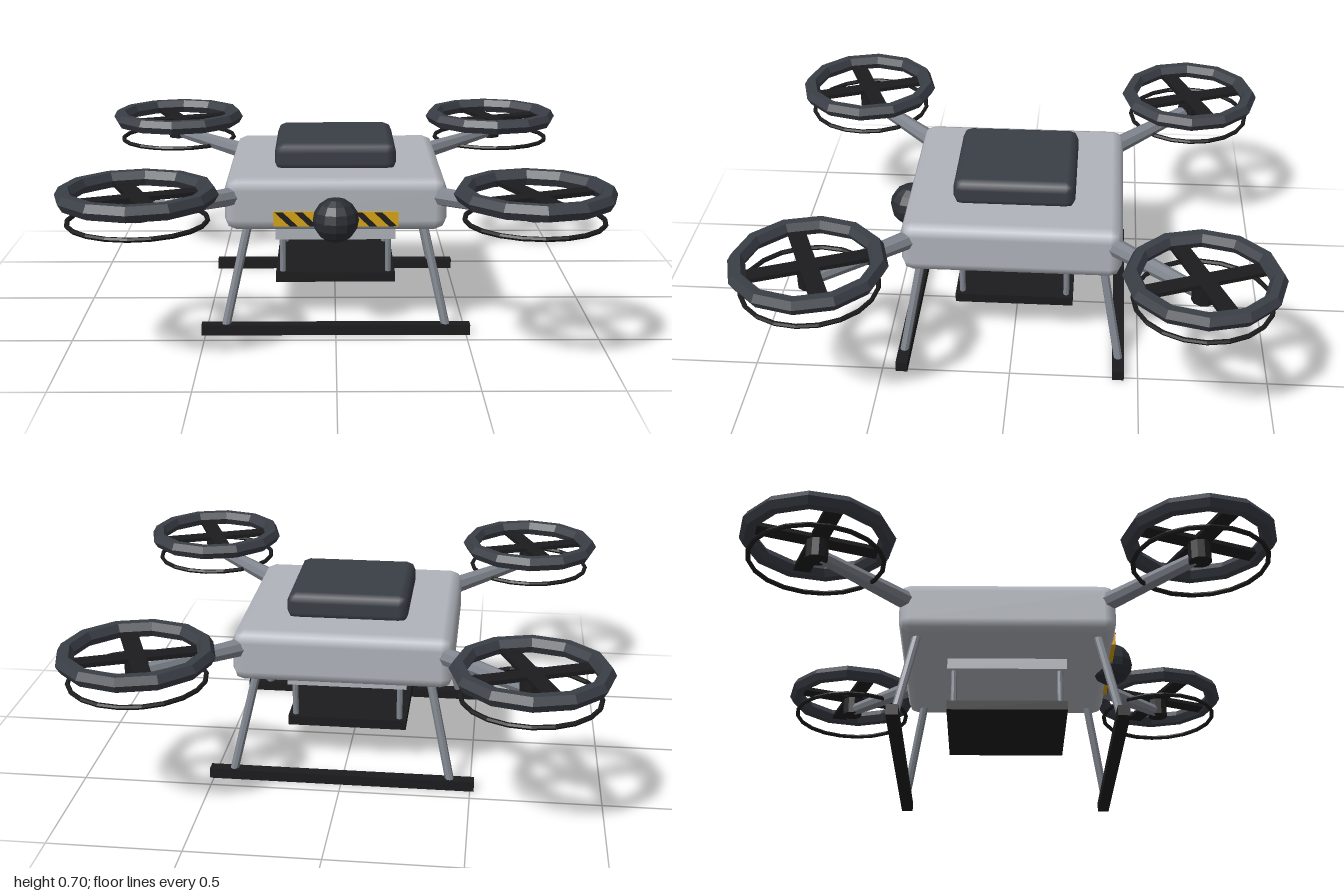
import * as THREE from 'three';
import { RoundedBoxGeometry } from 'three/addons/geometries/RoundedBoxGeometry.js';

const mat = (color, flatShading = true) => new THREE.MeshStandardMaterial({ color, flatShading });
const shell = mat(0xb0b4bb, false);
const dark = mat(0x3a3e46);
const canopyMat = mat(0x3a3e46, false);
const metal = mat(0x80858e);
const black = mat(0x1c1c1e);
const lens = mat(0x2a2e34);
const yellow = mat(0xd9a514);

function add(parent, name, geometry, material, x = 0, y = 0, z = 0) {
  const mesh = new THREE.Mesh(geometry, material);
  mesh.name = name;
  mesh.position.set(x, y, z);
  parent.add(mesh);
  return mesh;
}

// Tapered round bar between two points
function strut(parent, name, a, b, ra, rb, sides) {
  const dir = b.clone().sub(a);
  const mid = a.clone().add(b).multiplyScalar(0.5);
  const mesh = add(parent, name, new THREE.CylinderGeometry(rb, ra, dir.length(), sides), metal, mid.x, mid.y, mid.z);
  mesh.quaternion.setFromUnitVectors(new THREE.Vector3(0, 1, 0), dir.normalize());
  return mesh;
}

// Motor, crossed blades, guard ring and thin lower ring
function makeRotor(x, z) {
  const rotor = new THREE.Group();
  rotor.name = 'rotor';
  rotor.position.set(x, 0, z);
  add(rotor, 'motor', new THREE.CylinderGeometry(0.043, 0.043, 0.075, 10), black, 0, 0.57, 0);
  for (let i = 0; i < 2; i++) {
    const blade = add(rotor, 'blade', new THREE.BoxGeometry(0.48, 0.016, 0.065), black, 0, 0.615, 0);
    blade.rotation.y = 0.38 + i * Math.PI / 2;
  }
  const guard = new THREE.TorusGeometry(0.2585, 0.0325, 6, 12).rotateX(Math.PI / 2);
  add(rotor, 'guardRing', guard, dark, 0, 0.626, 0);
  const lower = new THREE.TorusGeometry(0.249, 0.009, 6, 20).rotateX(Math.PI / 2);
  add(rotor, 'lowerRing', lower, black, 0, 0.531, 0);
  return rotor;
}

export function createModel() {
  const drone = new THREE.Group();
  drone.name = 'drone';

  // Body and top canopy
  add(drone, 'body', new RoundedBoxGeometry(0.84, 0.204, 0.84, 1, 0.045), shell, 0, 0.505, 0);
  add(drone, 'canopy', new RoundedBoxGeometry(0.47, 0.11, 0.47, 1, 0.035), canopyMat, 0, 0.645, 0);

  // Hazard strip with slanted bars, and the front camera ball
  add(drone, 'hazardStrip', new THREE.BoxGeometry(0.47, 0.056, 0.022), yellow, 0, 0.457, 0.419);
  const slant = new THREE.Shape([[-0.043, 0.027], [-0.013, 0.027], [0.043, -0.027], [0.013, -0.027]]
    .map(([x, y]) => new THREE.Vector2(x, y)));
  const barGeometry = new THREE.ExtrudeGeometry(slant, { depth: 0.004, bevelEnabled: false });
  for (let i = 0; i < 6; i++) {
    add(drone, 'hazardBar', barGeometry, black, (i - 2.5) * 0.0747, 0.457, 0.428);
  }
  add(drone, 'cameraBall', new THREE.SphereGeometry(0.087, 12, 8), lens, 0, 0.455, 0.43);

  // Cargo mount and tray
  add(drone, 'cargoMount', new THREE.BoxGeometry(0.47, 0.044, 0.47), shell, 0, 0.343, 0);
  add(drone, 'cargoTray', new THREE.BoxGeometry(0.47, 0.038, 0.47), black, 0, 0.165, 0);

  // Corner parts: arm, rotor, landing leg, tray post
  for (const sx of [-1, 1]) {
    for (const sz of [-1, 1]) {
      const at = (x, y, z) => new THREE.Vector3(sx * x, y, sz * z);
      strut(drone, 'arm', at(0.37, 0.535, 0.37), at(0.69, 0.556, 0.69), 0.037, 0.026, 8);
      drone.add(makeRotor(sx * 0.705, sz * 0.705));
      strut(drone, 'landingLeg', at(0.332, 0.43, 0.348), at(0.424, 0.02, 0.425), 0.017, 0.017, 8);
      strut(drone, 'trayPost', at(0.208, 0.175, 0.208), at(0.208, 0.33, 0.208), 0.012, 0.012, 8);
    }
  }

  // Landing skids
  for (const sz of [-1, 1]) {
    add(drone, 'skid', new THREE.BoxGeometry(1.03, 0.04, 0.046), black, 0, 0.02, sz * 0.423);
  }
  return drone;
}
